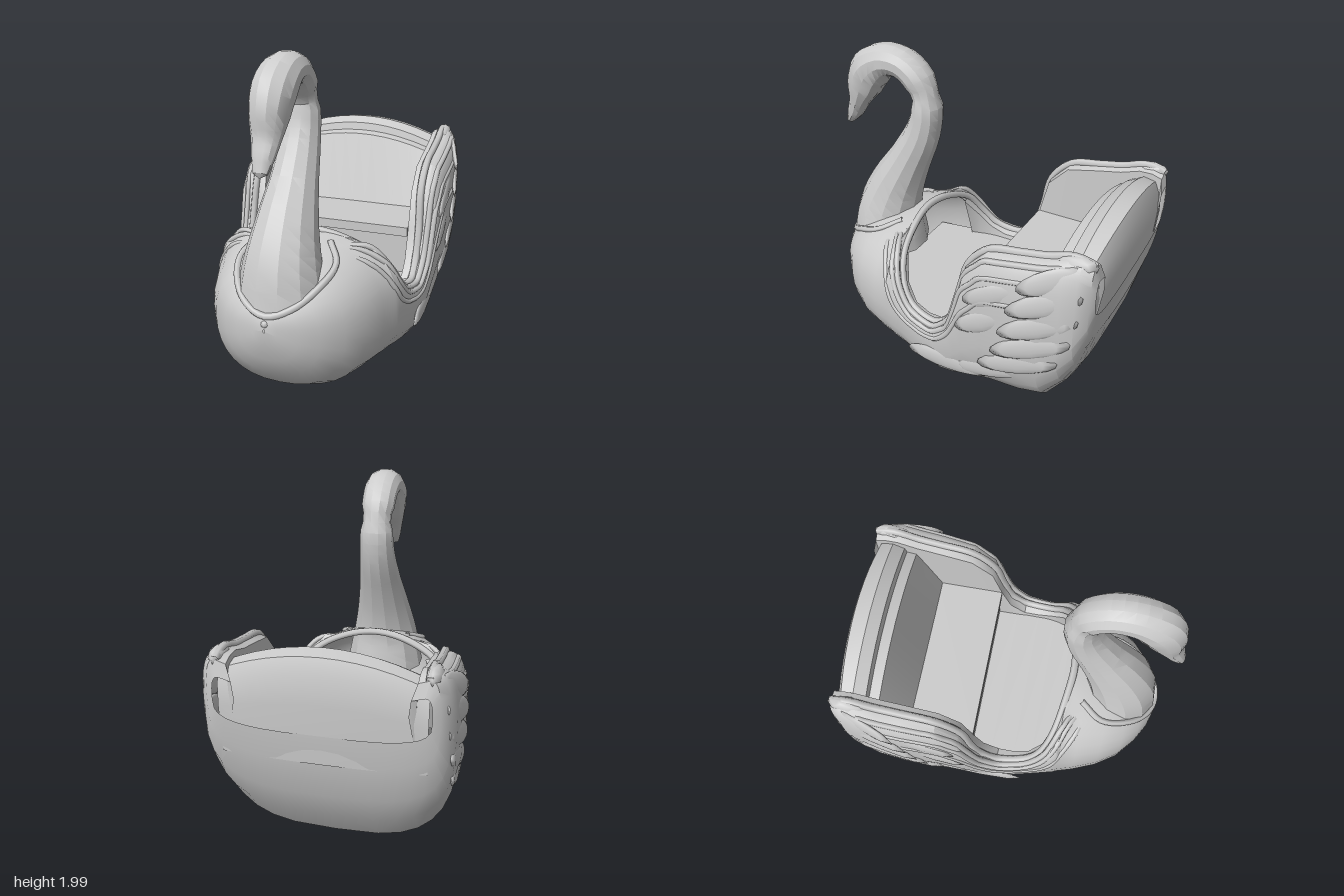
import * as THREE from 'three';
import { toCreasedNormals } from 'three/addons/utils/BufferGeometryUtils.js';

const paint = new THREE.MeshStandardMaterial({ color: 0xcccccc, side: THREE.DoubleSide });
paint.name = 'pale grey paint';

const V = (x, y, z) => new THREE.Vector3(x, y, z);

// Skin over rows of points
function loft(rows, crease = 0.6) {
  const n = rows[0].length, index = [];
  for (let i = 0; i < rows.length - 1; i++)
    for (let j = 0; j < n - 1; j++) {
      const a = i * n + j, b = a + n;
      index.push(a, b, a + 1, a + 1, b, b + 1);
    }
  const geo = new THREE.BufferGeometry();
  geo.setAttribute('position', new THREE.Float32BufferAttribute(rows.flat().flatMap(p => [p.x, p.y, p.z]), 3));
  geo.setIndex(index);
  return toCreasedNormals(geo, crease);
}

// Hull stations: z, half width, keel y, y of greatest width, rim y, rim x
const stations = [
  [0.985, 0.005, 0.55, 0.56, 0.57, 0],
  [0.975, 0.07, 0.48, 0.55, 0.62, 0], [0.94, 0.18, 0.36, 0.54, 0.68, 0],
  [0.88, 0.28, 0.25, 0.52, 0.74, 0], [0.78, 0.39, 0.13, 0.50, 0.82, 0],
  [0.65, 0.47, 0.06, 0.48, 0.88, 0], [0.50, 0.53, 0.04, 0.48, 0.92, 0],
  [0.40, 0.56, 0.03, 0.48, 0.94, 0], [0.38, 0.57, 0.03, 0.48, 0.91, 0.2],
  [0.34, 0.58, 0.025, 0.48, 0.81, 0.4], [0.28, 0.595, 0.02, 0.48, 0.67, 0.5],
  [0.20, 0.61, 0.015, 0.45, 0.57, 0.54], [0.10, 0.63, 0.01, 0.43, 0.53, 0.56],
  [0, 0.645, 0, 0.43, 0.53, 0.57], [-0.10, 0.66, 0.01, 0.5, 0.62, 0.57],
  [-0.16, 0.67, 0.02, 0.6, 0.8, 0.57], [-0.22, 0.68, 0.03, 0.7, 1.04, 0.56],
  [-0.35, 0.69, 0.05, 0.85, 1.175, 0.56], [-0.55, 0.7, 0.08, 0.9, 1.22, 0.56],
  [-0.70, 0.7, 0.12, 0.93, 1.25, 0.56], [-0.82, 0.69, 0.3, 0.93, 1.29, 0.56],
  [-0.90, 0.67, 0.48, 0.95, 1.29, 0.56], [-0.96, 0.62, 0.72, 1.0, 1.27, 0.56],
  [-0.98, 0.58, 0.9, 1.05, 1.18, 0.54],
];
// Section fullness: rounder at the breast, squarer along the wings and bilge
const fullness = (z, lower) =>
  (lower ? 0.62 : 0.71) + (lower ? 0.22 : 0.13) * THREE.MathUtils.smoothstep(z, lower ? -0.6 : 0.1, 0.5);

function stationAt(z) {
  let i = 0;
  while (i < stations.length - 2 && stations[i + 1][0] > z) i++;
  const a = stations[i], b = stations[i + 1];
  const t = THREE.MathUtils.clamp((a[0] - z) / (a[0] - b[0]), 0, 1);
  return a.map((v, k) => v + (b[k] - v) * t);
}

// Point on the hull: u runs -1 (keel) to 0 (widest) to 1 (rim)
function hullPoint([z, w, b, m, r, rx], u) {
  if (u === -1) return V(0, b, z);
  if (u === 1) return V(rx, r, z);
  const a = Math.abs(u) * Math.PI / 2, p = fullness(z, u < 0);
  const c = Math.cos(a) ** p, s = Math.sin(a) ** p;
  return u < 0 ? V(w * c, m - (m - b) * s, z) : V(rx + (w - rx) * c, m + (r - m) * s, z);
}

// Hull half width at a given height
function hullX(z, y) {
  const [, w, b, m, r, rx] = stationAt(z), p = fullness(z, y < m);
  const k = Math.min(1, y > m ? (y - m) / (r - m) : (m - y) / (m - b)) ** (1 / p);
  const c = Math.sqrt(1 - k * k) ** p;
  return y > m ? rx + (w - rx) * c : w * c;
}

const mirrored = half => [...half.slice(1).reverse().map(p => V(-p.x, p.y, p.z)), ...half];

const band = (points, radius, segments = 40) =>
  new THREE.TubeGeometry(new THREE.CatmullRomCurve3(points), segments, radius, 6);

export function createModel() {
  const group = new THREE.Group();
  const add = (name, geo, x = 0, y = 0, z = 0) => {
    const mesh = new THREE.Mesh(geo, paint);
    mesh.name = name;
    mesh.position.set(x, y, z);
    group.add(mesh);
    return mesh;
  };

  // Outer body with breast deck, sides and stern
  const us = Array.from({ length: 17 }, (_, i) => (i - 8) / 8);
  add('body', loft(stations.map(s => mirrored(us.map(u => hullPoint(s, u)))), 0.55));

  // Inner walls, ending inside the stern
  for (const s of [1, -1]) {
    const rows = stations.filter(st => st[0] < 0.36).map(([z, w, b, , r, rx]) => {
      const inner = Math.min(0.49, w - 0.12), top = Math.min(rx - 0.05, inner + 0.01);
      return [V(s * rx, r, z), V(s * top, r - 0.02, z), V(s * inner, Math.max(0.45, b + 0.17), z)];
    });
    add('innerWall', loft(rows));
  }

  // Flat floor running under the breast deck
  add('floor', loft([0.6, 0.35, 0.22, 0.1, -0.05, -0.2].map(z => {
    const x = Math.min(0.5, hullX(z, 0.48) - 0.03);
    return [V(-x, 0.48, z), V(x, 0.48, z)];
  })));

  // Bench
  add('seat', new THREE.BoxGeometry(0.99, 0.06, 0.44), 0, 0.765, -0.38);
  add('seatFront', new THREE.BoxGeometry(0.99, 0.28, 0.04), 0, 0.61, -0.2);

  // Backrest with recessed panel, crowned toward the middle
  const backProfile = [[-0.57, 0.79], [-0.71, 1.13], [-0.77, 1.14], [-0.78, 1.18], [-0.85, 1.215],
    [-0.92, 1.2], [-0.95, 1.13], [-0.96, 1.0], [-0.94, 0.72]];
  const backRows = Array.from({ length: 13 }, (_, i) => {
    const x = -0.56 + i * 1.12 / 12, k = 1 - (x / 0.56) ** 2;
    return backProfile.map(([z, y]) =>
      V(x, y + 0.13 * k * THREE.MathUtils.clamp((y - 0.77) / 0.4, 0, 1), z - (z < -0.9 ? 0.025 * k : 0)));
  });
  add('backrest', loft(backRows, 0.5));

  // Neck, head and bill: z, y, depth radius, half width
  const neckKeys = [[0.72, 0.6, 0.25, 0.27], [0.71, 0.83, 0.22, 0.225], [0.64, 1.04, 0.18, 0.18],
    [0.525, 1.26, 0.135, 0.14], [0.42, 1.47, 0.11, 0.115], [0.385, 1.64, 0.095, 0.105],
    [0.43, 1.79, 0.095, 0.105], [0.54, 1.88, 0.095, 0.11], [0.67, 1.88, 0.105, 0.115],
    [0.785, 1.8, 0.13, 0.12], [0.845, 1.69, 0.115, 0.105], [0.89, 1.58, 0.065, 0.08],
    [0.935, 1.49, 0.05, 0.06], [0.975, 1.425, 0.025, 0.04]];
  const spine = new THREE.CatmullRomCurve3(neckKeys.map(([z, y]) => V(0, y, z)));
  const girth = new THREE.CatmullRomCurve3(neckKeys.map(([, , d, w]) => V(w, d, 0)));
  const neckRows = Array.from({ length: 40 }, (_, i) => {
    const t = i / 39, c = spine.getPoint(t), g = girth.getPoint(t), d = spine.getTangent(t);
    return Array.from({ length: 13 }, (_, j) => {
      const a = (j % 12 + 0.5) * Math.PI / 6, q = Math.sin(a) * g.y;
      return V(Math.cos(a) * g.x, c.y + d.z * q, c.z - d.y * q);
    });
  });
  neckRows.push(neckRows[39].map(() => V(0, 1.405, 0.985)));
  add('neckAndHead', loft(neckRows, 0.5));

  // Collar around the neck base, with a small bead
  const collarHalf = [[0, 0.965], [0.13, 0.92], [0.24, 0.79], [0.28, 0.62], [0.2, 0.48]].map(([x, z]) => {
    const [, w, , m, r] = stationAt(z), p = fullness(z, false);
    const c = (x / w) ** (1 / p);
    return V(x, m + (r - m) * Math.sqrt(1 - c * c) ** p, z);
  });
  add('collar', band(mirrored(collarHalf), 0.02));
  add('collarBead', new THREE.SphereGeometry(0.025, 8, 6), 0, 0.595, 0.965);

  // Cockpit rim
  const rim = stations.filter(s => s[0] <= 0.4 && s[0] > -0.97).map(s => hullPoint(s, 1));
  add('cockpitRim', band(mirrored(rim), 0.024, 120));

  // Feather blades: z, y, upward tilt, length
  const feathers = [[-0.76, 1.17, 0.45, 0.2], [-0.73, 1.02, 0.45, 0.23], [-0.7, 0.86, 0.45, 0.25],
    [-0.66, 0.7, 0.45, 0.26], [-0.58, 0.54, 0.4, 0.27], [-0.4, 0.4, 0.3, 0.28],
    [-0.42, 0.96, 0.5, 0.2], [-0.36, 0.76, 0.55, 0.2], [-0.1, 0.32, 0.05, 0.28]];

  for (const s of [1, -1]) {
    // Wing ridges dropping from the breast and sweeping back
    for (const [u0, from, to] of [[0.65, 0.44, -0.85], [0.35, 0.48, -0.75], [0.05, 0.52, -0.6]]) {
      const pts = Array.from({ length: 22 }, (_, i) => {
        const t = i / 21, u = u0 + (0.7 - u0) * Math.max(0, 1 - t * 4) ** 2;
        const p = hullPoint(stationAt(from + (to - from) * t), u);
        return V(s * (p.x - (i % 21 ? 0.01 : 0.03)), p.y - (i ? 0 : 0.02), p.z);
      });
      add('wingRidge', band(pts, 0.019, 60));
    }
    // Low feather blades lying on the wing
    for (const [z, y, tilt, len] of feathers) {
      const x = hullX(z, y), yaw = Math.max(0, Math.atan2(x - hullX(z - 0.15, y + 0.07), 0.15));
      const blade = new THREE.SphereGeometry(1, 8, 8).scale(0.02, 0.07, len);
      add('feather', blade, s * (x - 0.012), y, z).rotation.set(tilt, s * Math.min(yaw, 0.3), 0);
    }
    // Raised wing tip
    add('wingTip', new THREE.SphereGeometry(1, 8, 6).scale(0.05, 0.06, 0.13), s * 0.57, 1.25, -0.85).rotation.x = 0.2;
  }
  return group;
}
